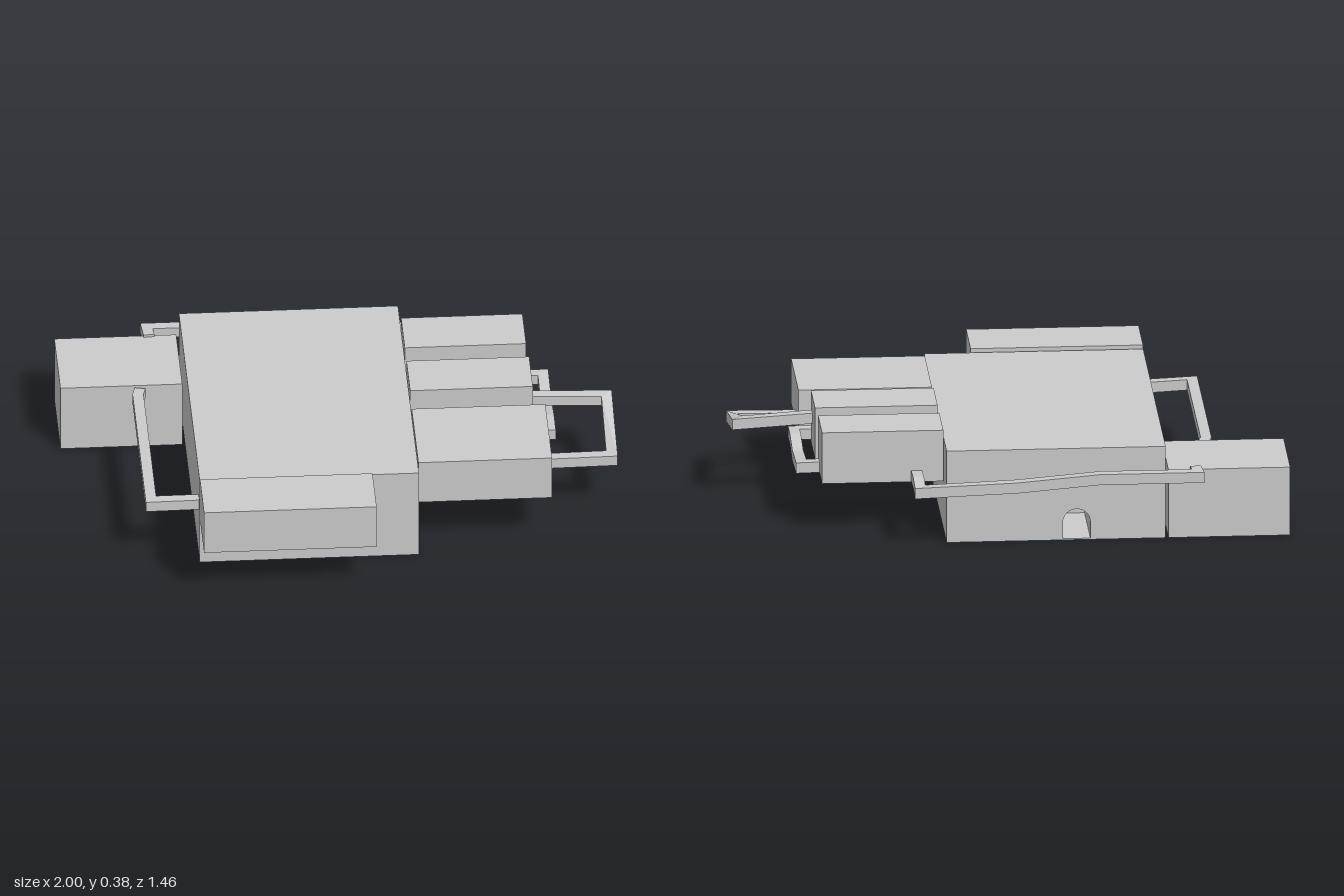
import * as THREE from 'three';

const material = new THREE.MeshStandardMaterial({ color: 0xcccccc, flatShading: true });

function addMesh(group, name, geometry) {
  const mesh = new THREE.Mesh(geometry, material);
  mesh.name = name;
  group.add(mesh);
  return mesh;
}

// Box given by its lower and upper corners
function addBox(group, name, lo, hi) {
  const mesh = addMesh(group, name, new THREE.BoxGeometry(hi[0] - lo[0], hi[1] - lo[1], hi[2] - lo[2]));
  mesh.position.set((lo[0] + hi[0]) / 2, (lo[1] + hi[1]) / 2, (lo[2] + hi[2]) / 2);
}

// Square duct swept along a path, with mitred corners and closed ends
function ductGeometry(path, width = 0.04, height = 0.04) {
  const points = path.map((p) => new THREE.Vector3(...p));
  const sideOf = (i) => {
    const d = points[i + 1].clone().sub(points[i]);
    return new THREE.Vector3(-d.z, 0, d.x).normalize();
  };
  const last = points.length - 1;
  const sections = points.map((p, i) => {
    const before = sideOf(Math.max(i - 1, 0));
    const after = sideOf(Math.min(i, last - 1));
    const side = before.clone().add(after).normalize();
    side.multiplyScalar(width / 2 / side.dot(before));
    return [[1, 1], [-1, 1], [-1, -1], [1, -1]].map(([s, u]) =>
      p.clone().addScaledVector(side, s).add(new THREE.Vector3(0, u * height / 2, 0)));
  });
  const corners = [];
  const quad = (a, b, c, d) => corners.push(a, b, c, a, c, d);
  for (let i = 0; i < last; i++) {
    const a = sections[i], b = sections[i + 1];
    for (let k = 0; k < 4; k++) quad(a[k], b[k], b[(k + 1) % 4], a[(k + 1) % 4]);
  }
  quad(...sections[0]);
  quad(...sections[last].slice().reverse());
  const geometry = new THREE.BufferGeometry().setFromPoints(corners);
  geometry.computeVertexNormals();
  return geometry;
}

export function createModel() {
  const model = new THREE.Group();
  model.name = 'blockComplex';

  // Main block: solid front part and a rear part with an arched opening
  const body = new THREE.Group();
  body.name = 'mainBlock';
  model.add(body);
  addBox(body, 'mainBlockFront', [-0.545, 0, -0.36], [0.255, 0.35, 0.49]);
  const wall = new THREE.Shape();
  wall.moveTo(-0.545, 0).lineTo(0.255, 0).lineTo(0.255, 0.35).lineTo(-0.545, 0.35).closePath();
  const arch = new THREE.Path();
  arch.moveTo(-0.27, 0.005).lineTo(-0.27, 0.068);
  arch.absarc(-0.22, 0.068, 0.05, Math.PI, 0, true);
  arch.lineTo(-0.17, 0.005).closePath();
  wall.holes.push(arch);
  const rear = new THREE.ExtrudeGeometry(wall, { depth: 0.3, bevelEnabled: false, curveSegments: 8 });
  addMesh(body, 'mainBlockRear', rear).position.z = -0.66;

  // Outlying blocks
  addBox(model, 'frontBlock', [-0.545, 0.19, 0.5], [0.085, 0.362, 0.73]);
  addBox(model, 'rightBackBlock', [-1, 0, -0.66], [-0.555, 0.26, -0.32]);
  addBox(model, 'leftFrontBlock', [0.257, 0.19, 0.065], [0.745, 0.36, 0.435]);
  addBox(model, 'leftMiddleBlock', [0.257, 0.19, -0.225], [0.705, 0.385, -0.02]);
  addBox(model, 'leftBackBlock', [0.257, 0.19, -0.52], [0.7, 0.385, -0.315]);

  // Ducts joining the blocks
  const ducts = {
    rightDuct: [[-0.71, 0.235, -0.31], [-0.72, 0.235, -0.27], [-0.72, 0.23, 0.445], [-0.54, 0.225, 0.435]],
    backDuct: [[-0.655, 0.25, -0.65], [-0.66, 0.25, -0.71], [-0.3, 0.25, -0.71], [0, 0.225, -0.71],
      [0.355, 0.212, -0.71], [0.355, 0.222, -0.62], [0.355, 0.212, -0.51]],
    innerDuct: [[0.358, 0.21, 0.07], [0.358, 0.21, 0.02], [0.765, 0.212, 0.02], [0.765, 0.215, -0.06],
      [0.765, 0.192, -0.19], [0.765, 0.208, -0.365], [0.69, 0.21, -0.365]],
    outerDuct: [[0.74, 0.21, 0.215], [0.978, 0.213, 0.215], [0.978, 0.287, -0.08], [0.7, 0.302, -0.072]],
  };
  for (const [name, path] of Object.entries(ducts)) addMesh(model, name, ductGeometry(path));

  return model;
}
